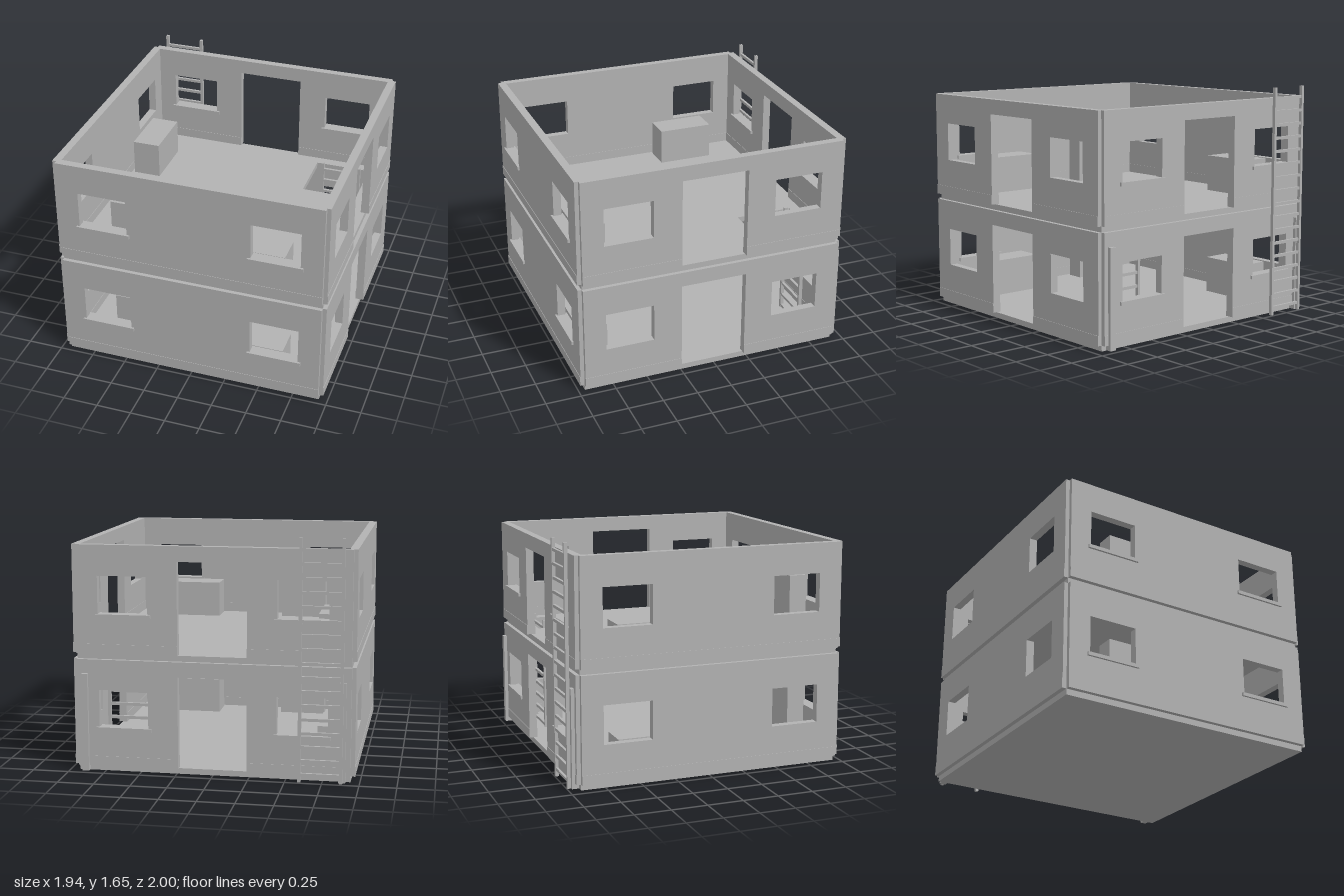
import * as THREE from 'three';

const HALF = 0.938;      // wall centre line, and half of the slab
const WALL_T = 0.056;
const WALL_H = 0.745;
const SLAB_H = 0.04;
const STOREY = SLAB_H + WALL_H;
const HOUSE_Z = 0.017;   // house centre, leaving room for the ladder behind
const DOOR = 0.237;      // half door width
const WINDOW = { x: 0.612, w: 0.345, y0: 0.265, y1: 0.535 };

export function createModel() {
  const grey = new THREE.MeshStandardMaterial({ color: 0xb2b2b2 });
  grey.name = 'plain grey';
  const model = new THREE.Group();
  model.name = 'twoStoreyHouse';

  const add = (parent, name, geometry) => {
    const mesh = new THREE.Mesh(geometry, grey);
    mesh.name = name;
    parent.add(mesh);
    return mesh;
  };
  // Box given by its two opposite corners
  const box = (parent, name, x0, x1, y0, y1, z0, z1) => {
    const mesh = add(parent, name, new THREE.BoxGeometry(x1 - x0, y1 - y0, z1 - z0));
    mesh.position.set((x0 + x1) / 2, (y0 + y1) / 2, (z0 + z1) / 2);
    return mesh;
  };
  const rectHole = (x0, x1, y0, y1) => new THREE.Path([
    new THREE.Vector2(x0, y0), new THREE.Vector2(x0, y1),
    new THREE.Vector2(x1, y1), new THREE.Vector2(x1, y0),
  ]);

  // One wall with two windows, and optionally a doorway and window sills
  const wall = (name, angle, { door = false, sills = false }) => {
    const group = new THREE.Group();
    group.name = name;
    const outline = [[-HALF, 0]];
    if (door) outline.push([-DOOR, 0], [-DOOR, 0.64], [DOOR, 0.64], [DOOR, 0]);
    outline.push([HALF, 0], [HALF, WALL_H], [-HALF, WALL_H]);
    const shape = new THREE.Shape(outline.map(([x, y]) => new THREE.Vector2(x, y)));
    const panel = new THREE.Group();
    panel.position.z = HALF;
    for (const side of [-1, 1]) {
      const c = side * WINDOW.x;
      shape.holes.push(rectHole(c - WINDOW.w / 2, c + WINDOW.w / 2, WINDOW.y0, WINDOW.y1));
      if (sills) box(panel, 'windowSill', c - 0.193, c + 0.193, 0.25, 0.275, -0.043, 0.043);
    }
    const geometry = new THREE.ExtrudeGeometry(shape, { depth: WALL_T, bevelEnabled: false });
    geometry.translate(0, 0, -WALL_T / 2);
    add(panel, 'wallPanel', geometry);

    // Baseboard stands slightly proud on both faces
    const b = WALL_T / 2 + 0.003;
    const spans = door ? [[-HALF, -DOOR], [DOOR, HALF]] : [[-HALF, HALF]];
    for (const [x0, x1] of spans) box(panel, 'baseboard', x0, x1, 0, 0.068, -b, b);
    panel.name = 'panel';
    group.add(panel);
    group.rotation.y = angle;
    return group;
  };

  // Floor slab, with a ladder opening on the upper storey
  const slab = (parent, opening) => {
    const shape = new THREE.Shape([[-1, -1], [1, -1], [1, 1], [-1, 1]]
      .map(([x, y]) => new THREE.Vector2(x * HALF, y * HALF)));
    if (opening) shape.holes.push(rectHole(0.415, 0.825, 0.40 + HOUSE_Z, 0.815 + HOUSE_Z));
    const geometry = new THREE.ExtrudeGeometry(shape, { depth: SLAB_H, bevelEnabled: false });
    geometry.rotateX(-Math.PI / 2);
    add(parent, 'floorSlab', geometry);
  };

  // Straight ladder with square rails
  const ladder = (name, x0, x1, y0, y1, z0, z1, rungs) => {
    const group = new THREE.Group();
    group.name = name;
    box(group, 'ladderRail', x0, x0 + 0.021, y0, y1, z0, z1);
    box(group, 'ladderRail', x1 - 0.021, x1, y0, y1, z0, z1);
    for (let i = 0; i < rungs; i++) {
      const y = 0.0575 + i * 0.0945;
      box(group, 'ladderRung', x0 + 0.01, x1 - 0.01, y - 0.01, y + 0.01, z0 + 0.003, z1 - 0.003);
    }
    model.add(group);
  };

  // Two identical storeys
  for (let i = 0; i < 2; i++) {
    const storey = new THREE.Group();
    storey.name = i ? 'upperStorey' : 'lowerStorey';
    storey.position.set(0, i * STOREY, HOUSE_Z);
    slab(storey, i === 1);

    const walls = new THREE.Group();
    walls.name = 'walls';
    walls.position.y = SLAB_H;
    walls.add(
      wall('frontWall', 0, { sills: true }),
      wall('backWall', Math.PI, { sills: true, door: true }),
      wall('leftWall', Math.PI / 2, { door: true }),
      wall('rightWall', -Math.PI / 2, {}),
    );
    storey.add(walls);

    // Furniture blocks
    const f = SLAB_H, o = HOUSE_Z;
    box(storey, 'lowCabinet', -0.885, -0.682, f, 0.305, -0.64 - o, -0.235 - o);
    box(storey, 'tallCabinet', -0.585, -0.24, f, 0.5, 0.765 - o, 0.895 - o);
    box(storey, 'chest', 0.25, 0.652, f, 0.305, 0.69 - o, 0.895 - o);
    model.add(storey);
  }

  // Posts at the rear corners of the lower storey
  for (const side of [-1, 1]) {
    const x = side * 0.883;
    box(model, 'cornerPost', x - 0.023, x + 0.023, 0.005, 0.688, -0.973, -0.925);
  }

  ladder('outsideLadder', -0.888, -0.588, 0.005, 1.647, -1, -0.976, 17);
  ladder('insideLadder', 0.468, 0.774, SLAB_H, 0.872, -0.765, -0.739, 9);
  return model;
}
